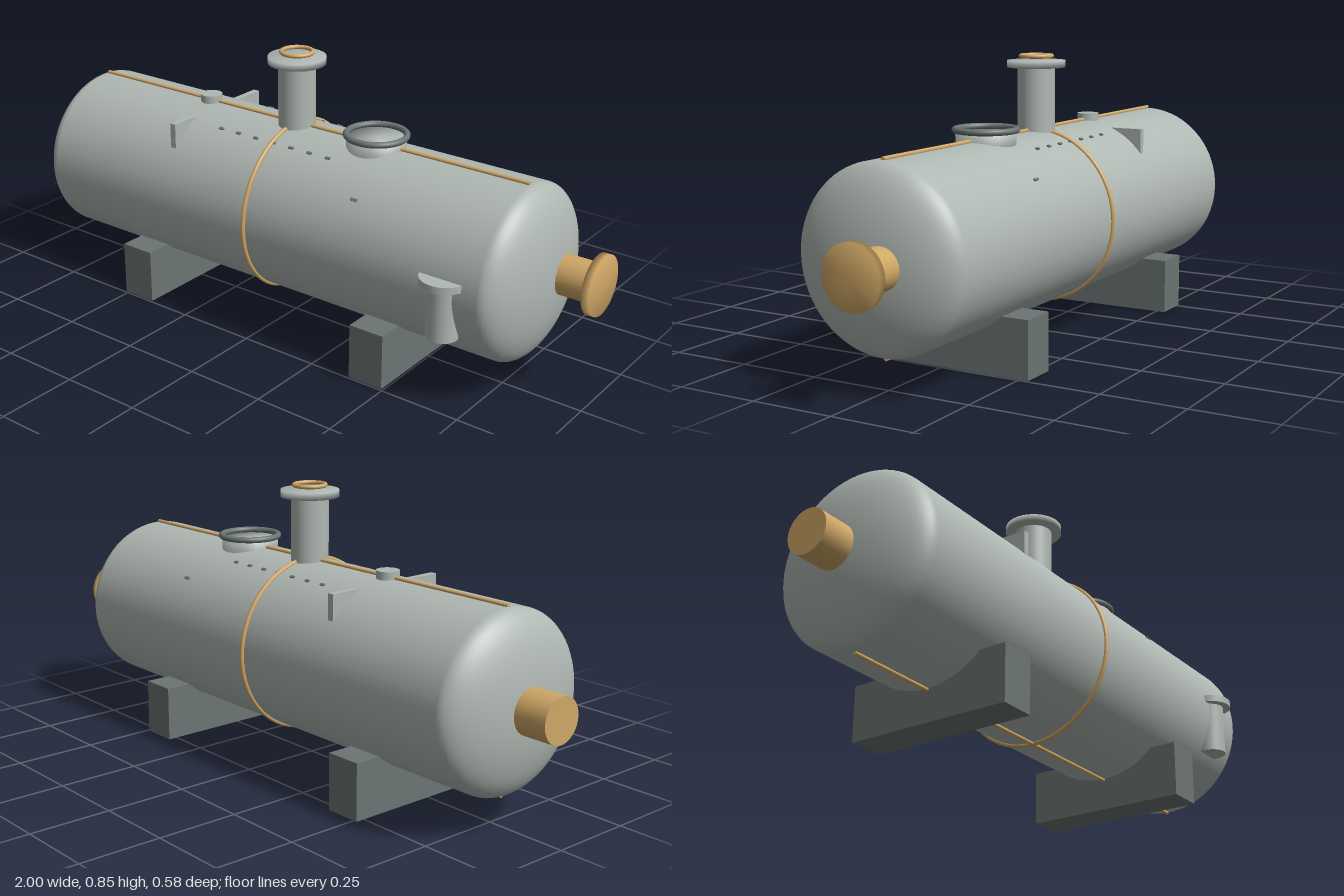
import * as THREE from 'three';
import { mergeVertices } from 'three/addons/utils/BufferGeometryUtils.js';

const CX = -0.01, CY = 0.361, CZ = -0.017, R = 0.261;

function material(name, color) {
  const m = new THREE.MeshStandardMaterial({ color });
  m.name = name;
  return m;
}

// Rounds the shading over the rim of a solid
function softened(geometry) {
  geometry.deleteAttribute('normal');
  geometry.deleteAttribute('uv');
  const merged = mergeVertices(geometry);
  merged.computeVertexNormals();
  return merged;
}

export function createModel() {
  const model = new THREE.Group();
  model.name = 'pressureTank';
  const steel = material('lightSteel', 0xb0b8b3);
  const dark = material('darkSteel', 0x6b7573);
  const brass = material('brass', 0xd0a766);

  function add(name, geometry, mat, x, y, z) {
    const mesh = new THREE.Mesh(geometry, mat);
    mesh.name = name;
    mesh.position.set(x, y, z);
    model.add(mesh);
    return mesh;
  }
  // Upright cylinder between two heights
  function upright(name, r, y0, y1, mat, x, z, soft = false) {
    const g = new THREE.CylinderGeometry(r, r, y1 - y0, 32);
    return add(name, soft ? softened(g) : g, mat, x, (y0 + y1) / 2, z);
  }
  // Cylinder along x between two ends
  function lengthwise(name, r, x0, x1, mat, y, z, soft = false) {
    const g = new THREE.CylinderGeometry(r, r, x1 - x0, 32);
    g.rotateZ(-Math.PI / 2);
    return add(name, soft ? softened(g) : g, mat, (x0 + x1) / 2, y, z);
  }

  // Shell with elliptical heads
  const half = 0.793, depth = 0.1, profile = [];
  for (let i = 0; i <= 16; i++) {
    const a = (i / 16) * Math.PI / 2;
    profile.push(new THREE.Vector2(R * Math.sin(a), -half - depth * Math.cos(a)));
  }
  for (let i = 16; i >= 0; i--) profile.push(new THREE.Vector2(profile[i].x, -profile[i].y));
  const shell = new THREE.LatheGeometry(profile, 72);
  shell.rotateZ(-Math.PI / 2);
  add('tankShell', shell, steel, -0.008, CY, CZ);

  // Weld seams: one around the middle, one each along top and bottom
  const seam = new THREE.TorusGeometry(R + 0.002, 0.007, 10, 72);
  seam.rotateY(Math.PI / 2);
  add('middleSeam', seam, brass, CX, CY, CZ);
  for (const s of [1, -1]) {
    lengthwise(s > 0 ? 'topSeam' : 'bottomSeam', 0.006, -0.803, 0.785, brass, CY + s * 0.264, CZ);
  }

  // Saddle supports
  for (const x of [-0.454, 0.437]) {
    add('saddle', new THREE.BoxGeometry(0.114, 0.17, 0.522), dark, x, 0.085, CZ);
  }

  // End nozzles
  lengthwise('rightNozzle', 0.066, -1, -0.85, brass, CY, -0.022);
  lengthwise('leftNozzle', 0.059, 0.8, 0.98, brass, CY, -0.07);
  lengthwise('leftNozzleFlange', 0.089, 0.977, 1, brass, CY, -0.07, true);

  // Tall stack with flange and gasket ring
  upright('stack', 0.057, 0.58, 0.815, steel, CX, CZ);
  upright('stackFlange', 0.088, 0.812, 0.833, steel, CX, CZ, true);
  const gasket = new THREE.TorusGeometry(0.047, 0.0065, 12, 40);
  gasket.rotateX(Math.PI / 2);
  add('stackRing', gasket, brass, CX, 0.846, CZ);

  // Manhole
  upright('manholeNeck', 0.088, 0.57, 0.643, steel, 0.281, CZ, true);
  const rim = new THREE.TorusGeometry(0.089, 0.0095, 12, 48);
  rim.rotateX(Math.PI / 2);
  add('manholeRim', rim, dark, 0.281, 0.651, CZ);

  // Small vent on top
  upright('vent', 0.034, 0.6, 0.644, steel, -0.35, CZ);

  // Lifting lug plate, showing on both shoulders
  add('liftingLug', new THREE.BoxGeometry(0.02, 0.2, 0.405), steel, -0.334, 0.503, CZ);

  // Vertical nozzle on the front side
  upright('sideNozzle', 0.047, 0.224, 0.39, steel, 0.672, 0.22);
  upright('sideNozzleFlange', 0.07, 0.384, 0.405, steel, 0.672, 0.221);

  // Rivets and tabs lying on the shoulders
  function tab(name, x, angle, width) {
    const m = add(name, new THREE.BoxGeometry(width, 0.008, 0.008), dark,
      x, CY + R * Math.cos(angle), CZ + R * Math.sin(angle));
    m.rotation.x = angle;
  }
  for (const s of [1, -1]) {
    for (let i = -3; i <= 3; i++) tab('rivet', -0.006 + i * 0.067, s * 0.48, 0.016);
    tab('shoulderTab', 0.345, s * 0.873, 0.022);
  }
  return model;
}
